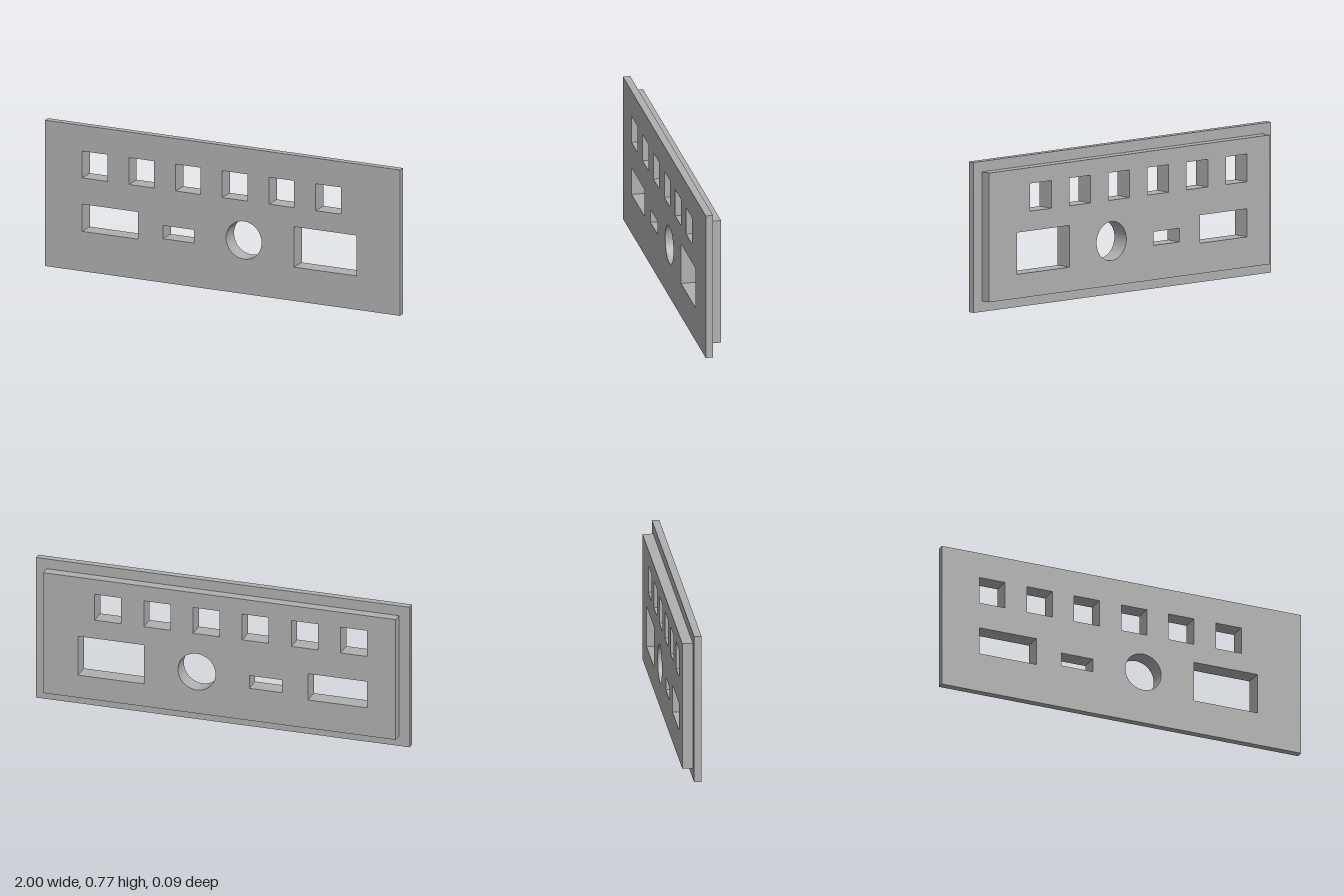
import * as THREE from 'three';
import { toCreasedNormals } from 'three/addons/utils/BufferGeometryUtils.js';

const grey = new THREE.MeshStandardMaterial({ color: 0xb0b0b0 });
grey.name = 'grey';

// Trace a rectangle from its edges onto a Shape or Path
function rect(path, x0, x1, y0, y1) {
  path.moveTo(x0, y0);
  path.lineTo(x1, y0);
  path.lineTo(x1, y1);
  path.lineTo(x0, y1);
  path.closePath();
  return path;
}

// Openings shared by both plates
function makeHoles() {
  const holes = [];
  // row of six square openings
  for (let i = 0; i < 6; i++) {
    const x = -0.79 + i * 0.263;
    holes.push(rect(new THREE.Path(), x, x + 0.142, 0.494, 0.636));
  }
  // wide, small and large rectangular openings
  holes.push(rect(new THREE.Path(), -0.79, -0.474, 0.211, 0.355));
  holes.push(rect(new THREE.Path(), -0.335, -0.16, 0.232, 0.302));
  holes.push(rect(new THREE.Path(), 0.403, 0.756, 0.179, 0.393));
  // round opening
  holes.push(new THREE.Path().absarc(0.121, 0.284, 0.1, 0, Math.PI * 2, true));
  return holes;
}

function plate(name, halfWidth, y0, y1, z0, z1) {
  const shape = rect(new THREE.Shape(), -halfWidth, halfWidth, y0, y1);
  shape.holes = makeHoles();
  const geometry = new THREE.ExtrudeGeometry(shape, {
    depth: z1 - z0, bevelEnabled: false, curveSegments: 48,
  });
  geometry.translate(0, 0, z0);
  const mesh = new THREE.Mesh(toCreasedNormals(geometry, Math.PI / 6), grey);
  mesh.name = name;
  return mesh;
}

export function createModel() {
  const model = new THREE.Group();
  model.name = 'controlPanel';
  model.add(plate('frontPlate', 1, 0, 0.772, 0.008, 0.046));
  model.add(plate('backPlate', 0.943, 0.055, 0.718, -0.046, 0.008));
  return model;
}
